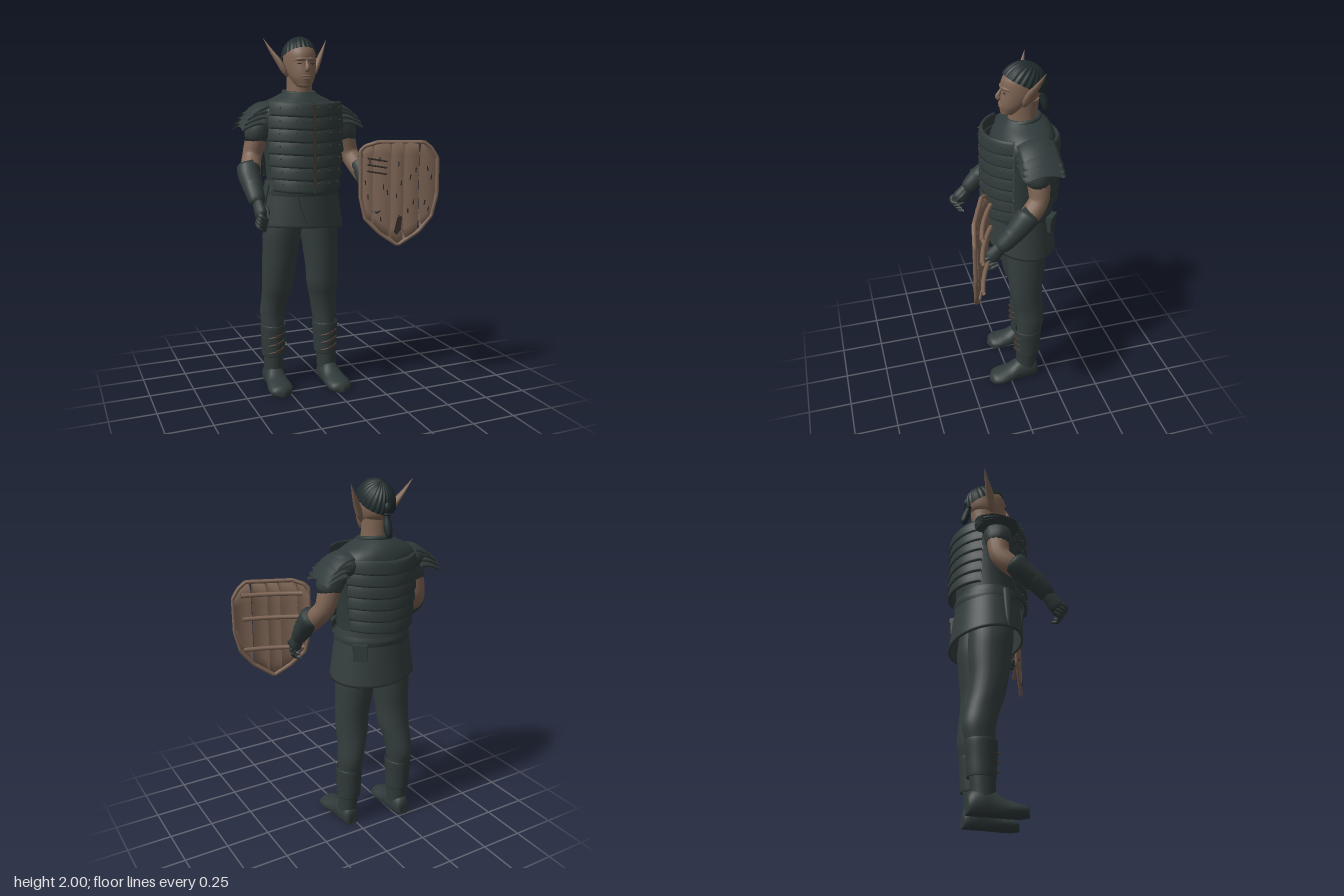
import * as THREE from 'three';
import { mergeVertices } from 'three/addons/utils/BufferGeometryUtils.js';

const CX = -0.133; // the figure stands left of centre, the shield fills the other side
const { sin, cos, PI, max, min, floor, abs } = Math;

// Surface through points f(u, v), welded so closed loops shade smoothly
function grid(nu, nv, f) {
  const pos = [], idx = [];
  for (let i = 0; i <= nu; i++) for (let j = 0; j <= nv; j++) pos.push(...f(i / nu, j / nv));
  for (let i = 0; i < nu; i++) for (let j = 0; j < nv; j++) {
    const a = i * (nv + 1) + j, b = a + nv + 1;
    idx.push(a, a + 1, b, b, a + 1, b + 1);
  }
  let g = new THREE.BufferGeometry();
  g.setAttribute('position', new THREE.Float32BufferAttribute(pos, 3));
  g.setIndex(idx);
  g = mergeVertices(g, 1e-5);
  g.computeVertexNormals();
  return g;
}
// Smooth interpolation along rows of numbers
function at(rows, t) {
  const s = t * (rows.length - 1), i = min(floor(s), rows.length - 2), f = s - i;
  const p = k => rows[max(0, min(rows.length - 1, i + k))];
  return rows[0].map((_, c) => {
    const a = p(-1)[c], b = p(0)[c], d = p(1)[c], e = p(2)[c];
    return b + 0.5 * f * (d - a + f * (2 * a - 5 * b + 4 * d - e + f * (3 * (b - d) + e - a)));
  });
}
// Horizontal elliptical sections: [y, cx, cz, rx, rz]
const loft = (rows, seg = 28) => grid(rows.length * 4, seg, (u, v) => {
  const [y, cx, cz, rx, rz] = at(rows, u), a = (v % 1) * 2 * PI;
  return [cx + max(0, rx) * sin(a), y, cz + max(0, rz) * cos(a)];
});
// Round or flattened sections along a path: [x, y, z, r]
function limb(rows, flat = 1, ref = [0, 0, 1], seg = 14) {
  const R = new THREE.Vector3(...ref);
  return grid(rows.length * 4, seg, (u, v) => {
    const p = at(rows, u), q0 = at(rows, max(0, u - 0.02)), q1 = at(rows, min(1, u + 0.02));
    const d = new THREE.Vector3(q1[0] - q0[0], q1[1] - q0[1], q1[2] - q0[2]).normalize();
    const s = new THREE.Vector3().crossVectors(d, R).normalize();
    const w = new THREE.Vector3().crossVectors(s, d), a = (v % 1) * 2 * PI, r = max(0, p[3]);
    s.multiplyScalar(r * cos(a) * flat).addScaledVector(w, r * sin(a));
    return [p[0] + s.x, p[1] + s.y, p[2] + s.z];
  });
}
// Thin closed plate: surface f(u, w) thickened along one axis
const plate = (nu, nv, f, t, axis) => grid(nu, nv * 2, (u, v) => {
  const top = v <= 0.5, p = f(u, (top ? v : 1 - v) * 2);
  if (!top && v < 1) p[axis] -= t;
  return p;
});

export function createModel() {
  const root = new THREE.Group(), body = new THREE.Group();
  root.name = 'warrior'; body.name = 'figure'; body.position.x = CX;
  root.add(body);
  const mat = (name, color) => {
    const m = new THREE.MeshStandardMaterial({ color, side: THREE.DoubleSide });
    m.name = name;
    return m;
  };
  const armor = mat('dark armor', 0x303a3a), cloth = mat('dark cloth', 0x343d3d), hairM = mat('black hair', 0x202b2c);
  const skin = mat('skin', 0x7f6554), wood = mat('wood', 0x7d6454), brown = mat('brown leather', 0x4a372e), dark = mat('dark stain', 0x2e2926);
  const add = (name, g, m, parent = body) => {
    const o = new THREE.Mesh(g, m);
    o.name = name; parent.add(o);
    return o;
  };
  const ball = (name, m, p, s) => {
    const o = add(name, new THREE.SphereGeometry(1, 16, 12), m);
    o.position.set(...p); o.scale.set(...s);
    return o;
  };
  const box = (name, m, p, s, r = [0, 0, 0], parent = body) => {
    const o = add(name, new THREE.BoxGeometry(...s), m, parent);
    o.position.set(...p); o.rotation.set(...r);
    return o;
  };

  // Head and face
  add('head', loft([[1.722, 0, -0.04, 0, 0], [1.727, 0, -0.035, 0.032, 0.035], [1.745, 0, -0.055, 0.05, 0.062], [1.775, 0, -0.068, 0.066, 0.08],
    [1.81, 0, -0.095, 0.079, 0.105], [1.85, 0, -0.107, 0.086, 0.11], [1.9, 0, -0.112, 0.085, 0.112], [1.935, 0, -0.112, 0.072, 0.094], [1.965, 0, -0.114, 0.045, 0.06], [1.978, 0, -0.114, 0, 0]]), skin);
  add('neck', loft([[1.64, 0, -0.12, 0.085, 0.09], [1.7, 0, -0.115, 0.07, 0.08], [1.8, 0, -0.12, 0.068, 0.085]]), skin);
  add('nose', limb([[0, 1.872, -0.004, 0.006], [0, 1.85, 0.008, 0.009], [0, 1.828, 0.019, 0.013], [0, 1.815, 0.014, 0.014], [0, 1.808, 0.004, 0.002]]), skin);
  add('brow', limb([[-0.066, 1.866, -0.045, 0.004], [-0.035, 1.874, -0.01, 0.01], [0, 1.872, -0.002, 0.009], [0.035, 1.874, -0.01, 0.01], [0.066, 1.866, -0.045, 0.004]], 1, [0, 1, 0]), skin);
  ball('upperLip', skin, [0, 1.784, 0.008], [0.026, 0.006, 0.008]);
  ball('lowerLip', skin, [0, 1.771, 0.006], [0.023, 0.007, 0.009]);

  // Hair: ridged cap combed to the crown, knot and tail
  add('hair', grid(18, 120, (u, v) => {
    const th = u * 1.47, a = (v % 1) * 2 * PI, r = 1 + 0.022 * sin(24 * a + 3 * u) * sin(th);
    const x = sin(th) * sin(a), p = cos(th), q = sin(th) * cos(a), c = cos(0.46), s = sin(0.46);
    return [0.097 * r * x, 1.872 + 0.126 * r * (p * c + q * s), -0.116 + 0.125 * r * (q * c - p * s)];
  }), hairM);
  add('ponytail', limb([[0, 1.9, -0.2, 0.015], [0, 1.868, -0.228, 0.024], [0, 1.83, -0.222, 0.016], [0, 1.77, -0.236, 0.022], [0, 1.73, -0.248, 0.018], [0, 1.71, -0.253, 0.004]]), hairM);
  add('hairTie', new THREE.TorusGeometry(0.017, 0.006, 8, 16).rotateX(PI / 2), hairM).position.set(0, 1.83, -0.222);

  // Torso, collar and tunic skirt
  add('torso', loft([[1.1, 0, -0.1, 0.2, 0.17], [1.25, 0, -0.1, 0.197, 0.175], [1.45, 0, -0.11, 0.215, 0.175], [1.55, 0, -0.115, 0.24, 0.175],
    [1.605, 0, -0.122, 0.24, 0.163], [1.645, 0, -0.128, 0.198, 0.145], [1.678, 0, -0.13, 0.13, 0.122], [1.7, 0, -0.125, 0.088, 0.1]]), armor);
  for (const [y, r] of [[1.697, 0.086], [1.675, 0.1]])
    add('collar', new THREE.TorusGeometry(r, 0.013, 8, 32).rotateX(PI / 2 + 0.12), armor).position.set(0, y, -0.12);
  add('skirt', grid(14, 48, (u, v) => {
    const a = (v % 1) * 2 * PI, k = min(u / 0.9, 1), inner = u > 0.95 ? 0.94 : 1;
    const rx = (0.205 + 0.045 * k) * inner, rz = (0.172 + 0.026 * k) * inner;
    const hem = 0.942 + 0.022 * cos(a) - 0.016 * sin(a);
    return [rx * sin(a), 1.22 + (hem - 1.22) * k, -0.1 - 0.01 * k + rz * cos(a)];
  }), cloth);
  add('belt', loft([[1.19, 0, -0.1, 0.21, 0.182], [1.165, 0, -0.1, 0.216, 0.189], [1.14, 0, -0.1, 0.216, 0.186]], 40), armor);
  add('skirtSeam', limb([[-0.09, 1.19, 0.068, 0.005], [-0.07, 1.08, 0.077, 0.005], [-0.03, 0.97, 0.089, 0.005]]), armor);
  box('pouch', armor, [0.155, 1.11, -0.235], [0.075, 0.09, 0.04], [0, 2.45, 0]);
  box('pouchFlap', armor, [0.156, 1.145, -0.236], [0.081, 0.03, 0.05], [0, 2.45, 0]);
  add('sheath', limb([[-0.21, 1.2, -0.06, 0.02], [-0.228, 1.12, -0.06, 0.021], [-0.243, 1.02, -0.06, 0.016], [-0.25, 0.96, -0.06, 0.002]], 0.5), armor);

  // Overlapping curved bands on chest and back
  const band = (y, h, a0, a1, k) => grid(20, 12, (u, v) => {
    const a = a0 + (a1 - a0) * u, t = (v % 1) * 2 * PI, sq = q => Math.sign(q) * abs(q) ** 0.6;
    const d = 0.012 * sq(cos(t)) - 0.007 * sin(t);
    return [(0.229 * k + d) * sin(a), y + h / 2 * sq(sin(t)) + 0.012 * (abs(sin(a)) - 0.5), -0.1 + (0.208 + d) * cos(a)];
  });
  for (let i = 0; i < 7; i++) {
    const y = 1.2 + i * 0.068, k = 0.91 + 0.1 * sin(i / 6 * 2.4);
    for (const s of [-1, 1]) {
      add('chestBand', band(y, 0.078, s * 0.025, s * 1.12, k), armor);
      for (const a of [0.1, 0.42, 0.8])
        ball('stud', brown, [s * (0.229 * k + 0.013) * sin(a), y + 0.01, -0.1 + 0.221 * cos(a)], [0.005, 0.005, 0.005]);
    }
    if (i < 6) add('backBand', band(1.262 + i * 0.063, 0.074, PI - 1.1, PI + 1.1, k), armor);
  }
  box('chestClosure', brown, [0, 1.41, 0.106], [0.012, 0.45, 0.009]);

  for (const s of [-1, 1]) {
    ball('eye', dark, [s * 0.035, 1.85, -0.007], [0.015, 0.003, 0.006]);
    add('ear', limb([[s * 0.074, 1.78, -0.1, 0.004], [s * 0.088, 1.81, -0.108, 0.022], [s * 0.112, 1.86, -0.125, 0.025], [s * 0.148, 1.92, -0.152, 0.015], [s * 0.186, 1.99, -0.18, 0.001]], 0.65), skin);

    // Shoulder cap and four layered pauldron plates
    ball('shoulderCap', armor, [s * 0.2, 1.58, -0.14], [0.085, 0.07, 0.1]);
    [[0.19, 1.642, 0.295, 1.595], [0.21, 1.615, 0.325, 1.572], [0.22, 1.585, 0.342, 1.545], [0.23, 1.555, 0.352, 1.52]].forEach(([x0, y0, x1, y1], i) =>
      add('pauldronPlate', plate(8, 14, (u, w) => {
        const z = 2 * w - 1;
        return [s * (x0 + (x1 - x0) * u), y0 + (y1 - y0) * u + 0.008 * sin(PI * u) - 0.032 * z * z + 0.012, -0.13 + z * (0.104 + 0.004 * i)];
      }, 0.016, 1), armor));

    // Arm, gauntlet and curled hand; the empty hand reaches a little further forward
    const o = s > 0 ? 0.025 : 0, P = (x, y, z, r) => [s * (x + o), y, s < 0 && y < 1.25 ? z + 0.025 : z, r];
    add('sleeve', limb([P(0.18, 1.57, -0.12, 0.075), P(0.23, 1.51, -0.115, 0.077), P(0.255, 1.45, -0.118, 0.066), P(0.252, 1.45, -0.118, 0.04)]), cloth);
    add('arm', limb([P(0.235, 1.5, -0.118, 0.062), P(0.26, 1.42, -0.122, 0.059), P(0.28, 1.35, -0.115, 0.054), P(0.302, 1.29, -0.065, 0.054), P(0.318, 1.22, 0.005, 0.045)]), skin);
    add('gauntlet', limb([P(0.318, 1.295, -0.05, 0.03), P(0.32, 1.295, -0.05, 0.062), P(0.325, 1.25, -0.01, 0.06), P(0.327, 1.19, 0.045, 0.051), P(0.325, 1.135, 0.098, 0.042), P(0.325, 1.125, 0.105, 0.02)]), armor);
    add('gauntletBand', limb([P(0.326, 1.21, 0.027, 0.057), P(0.327, 1.195, 0.041, 0.056)]), armor);
    add('palm', limb([P(0.325, 1.14, 0.09, 0.034), P(0.323, 1.105, 0.125, 0.04), P(0.32, 1.07, 0.155, 0.042), P(0.318, 1.05, 0.17, 0.015)], 0.75), armor);
    for (let f = 0; f < 4; f++) {
      const y = 1.087 - f * 0.02, z = 0.172 - f * 0.013;
      add('finger', limb([P(0.338, y, z - 0.01, 0.011), P(0.335, y - 0.015, z + 0.025, 0.013), P(0.312, y - 0.035, z + 0.026, 0.012), P(0.295, y - 0.035, z + 0.003, 0.009)], 1, [0, 1, 0], 8), armor);
    }
    add('thumb', limb([P(0.302, 1.115, 0.12, 0.014), P(0.288, 1.095, 0.15, 0.014), P(0.292, 1.07, 0.175, 0.009)], 1, [1, 0, 0], 8), armor);

    // Leg; the right one is set back by b at the ankle
    const b = s > 0 ? 0 : -0.055;
    add('leg', loft([[1.03, s * 0.1, -0.11, 0.1, 0.12], [0.93, s * 0.111, -0.115, 0.109, 0.12], [0.82, s * 0.12, -0.112 + b * 0.2, 0.102, 0.112], [0.7, s * 0.128, -0.108 + b * 0.4, 0.095, 0.1], [0.6, s * 0.131, -0.113 + b * 0.6, 0.09, 0.095],
      [0.52, s * 0.14, -0.125 + b * 0.8, 0.079, 0.089], [0.43, s * 0.15, -0.132 + b, 0.073, 0.084], [0.33, s * 0.153, -0.124 + b, 0.062, 0.072], [0.2, s * 0.155, -0.115 + b, 0.052, 0.058]]), cloth);
    // Boot: shaft, flared cuff, foot and straps
    add('bootShaft', loft([[0.04, s * 0.158, -0.108 + b, 0.054, 0.06], [0.12, s * 0.156, -0.11 + b, 0.056, 0.063], [0.25, s * 0.153, -0.114 + b, 0.061, 0.068]]), armor);
    add('bootCuff', loft([[0.2, s * 0.154, -0.118 + b, 0.058, 0.064], [0.178, s * 0.154, -0.118 + b, 0.067, 0.073], [0.27, s * 0.153, -0.119 + b, 0.07, 0.078], [0.355, s * 0.152, -0.12 + b, 0.074, 0.083], [0.357, s * 0.152, -0.12 + b, 0.066, 0.075], [0.32, s * 0.152, -0.12 + b, 0.06, 0.068]]), armor);
    const foot = [[-0.177, 0, 0.02, 0], [-0.174, 0.038, 0.09, 0], [-0.12, 0.055, 0.13, 0], [-0.055, 0.058, 0.12, 0], [0, 0.065, 0.085, 0.003], [0.06, 0.072, 0.066, 0.006], [0.11, 0.055, 0.052, 0.008], [0.132, 0, 0.02, 0.008]];
    add('foot', grid(32, 24, (u, v) => {
      const [z, w, h, c] = at(foot, u), a = (v % 1) * 2 * PI;
      return [s * (0.16 + c) + max(0, w) * sin(a), h * max(0, 0.4 + 0.6 * cos(a)), z + b * 1.25];
    }), armor);
    for (let i = 0; i < 3; i++) {
      const y = 0.215 + i * 0.045;
      add('bootStrap', limb([-0.7, -0.25, 0.25, 0.7].map(a => [s * 0.153 + 0.072 * sin(a), y + 0.022 * a, -0.119 + b + 0.08 * cos(a), 0.005]), 1, [0, 1, 0], 8), brown);
      box('buckle', brown, [s * 0.153, y, -0.036 + b], [0.018, 0.014, 0.009]);
    }
  }

  // Shield: five bowed planks in a rim, with cross bars behind
  const shield = new THREE.Group();
  shield.name = 'shield';
  root.add(shield);
  const X = u => 0.315 + 0.194 * u, Z = u => 0.232 + 0.078 * u + 0.022 * (1 - u * u);
  const pick = (t, u) => {
    let i = 1;
    while (i < t.length - 1 && u > t[i][0]) i++;
    const [a, b] = [t[i - 1], t[i]];
    return a[1] + (b[1] - a[1]) * (u - a[0]) / (b[0] - a[0]);
  };
  const top = [[-1, 1.385], [-0.9, 1.41], [-0.6, 1.432], [0.62, 1.432], [0.82, 1.4], [1, 1.345]];
  const low = [[-1, 1.13], [-0.88, 1.01], [-0.5, 0.93], [-0.06, 0.868], [0.5, 0.945], [0.85, 1.03], [1, 1.15]];
  const edges = [-0.99, -0.7, -0.25, 0.08, 0.5, 0.99], gaps = [0, 0.006, 0.004, 0.004, 0.022, 0];
  for (let i = 0; i < 5; i++) {
    const a = edges[i] + gaps[i], b = edges[i + 1] - gaps[i + 1];
    add('plank', plate(6, 8, (q, w) => {
      const u = a + (b - a) * q, y0 = pick(low, u), y1 = pick(top, u);
      return [X(u), y0 + (y1 - y0) * w, Z(u) + 0.006 * sin(PI * q)];
    }, 0.014, 2), wood, shield);
    // Weathered nicks on each plank
    for (let k = 0; k < 4; k++) {
      const u = a + (b - a) * (0.2 + 0.6 * ((k * 0.618 + i * 0.37) % 1)), y = 1.04 + 0.09 * k + 0.03 * sin(i * 5 + k * 3);
      box('nick', dark, [X(u), y, Z(u) + 0.004], [0.006, 0.026, 0.009], [0, -0.35, 0.15 * sin(k + i)], shield);
    }
  }
  // Rim with straight sides and firm corners
  const path = new THREE.CurvePath(), rim = [...top, ...low.reverse()].map(([u, y]) => new THREE.Vector3(X(u), y, Z(u)));
  rim.forEach((p, i) => path.add(new THREE.LineCurve3(p, rim[(i + 1) % rim.length])));
  add('rim', new THREE.TubeGeometry(path, 110, 0.0115, 8, true), wood, shield);
  for (const y of [1.365, 1.23, 1.05])
    add('crossBar', limb([-0.78, -0.4, 0, 0.4, 0.84].map(u => [X(u), y, Z(u) - 0.037, 0.012]), 1, [0, 1, 0], 10), wood, shield);
  for (let i = 0; i < 3; i++) {
    const y = 1.345 - i * 0.035;
    add('scratch', limb([-0.85, -0.6, -0.36].map((u, k) => [X(u), y - k * 0.008, Z(u) + 0.005, 0.005]), 1, [0, 1, 0], 6), dark, shield);
  }
  const mark = new THREE.Shape([[0.28, 0.94], [0.297, 0.925], [0.318, 0.955], [0.325, 1.03], [0.3, 1.025]].map(p => new THREE.Vector2(...p)));
  const m = add('stain', new THREE.ExtrudeGeometry(mark, { depth: 0.006, bevelEnabled: false }).translate(-0.3, 0, 0), dark, shield);
  m.position.set(0.3, 0, Z(-0.075) + 0.004);
  m.rotation.y = -0.38;
  return root;
}
